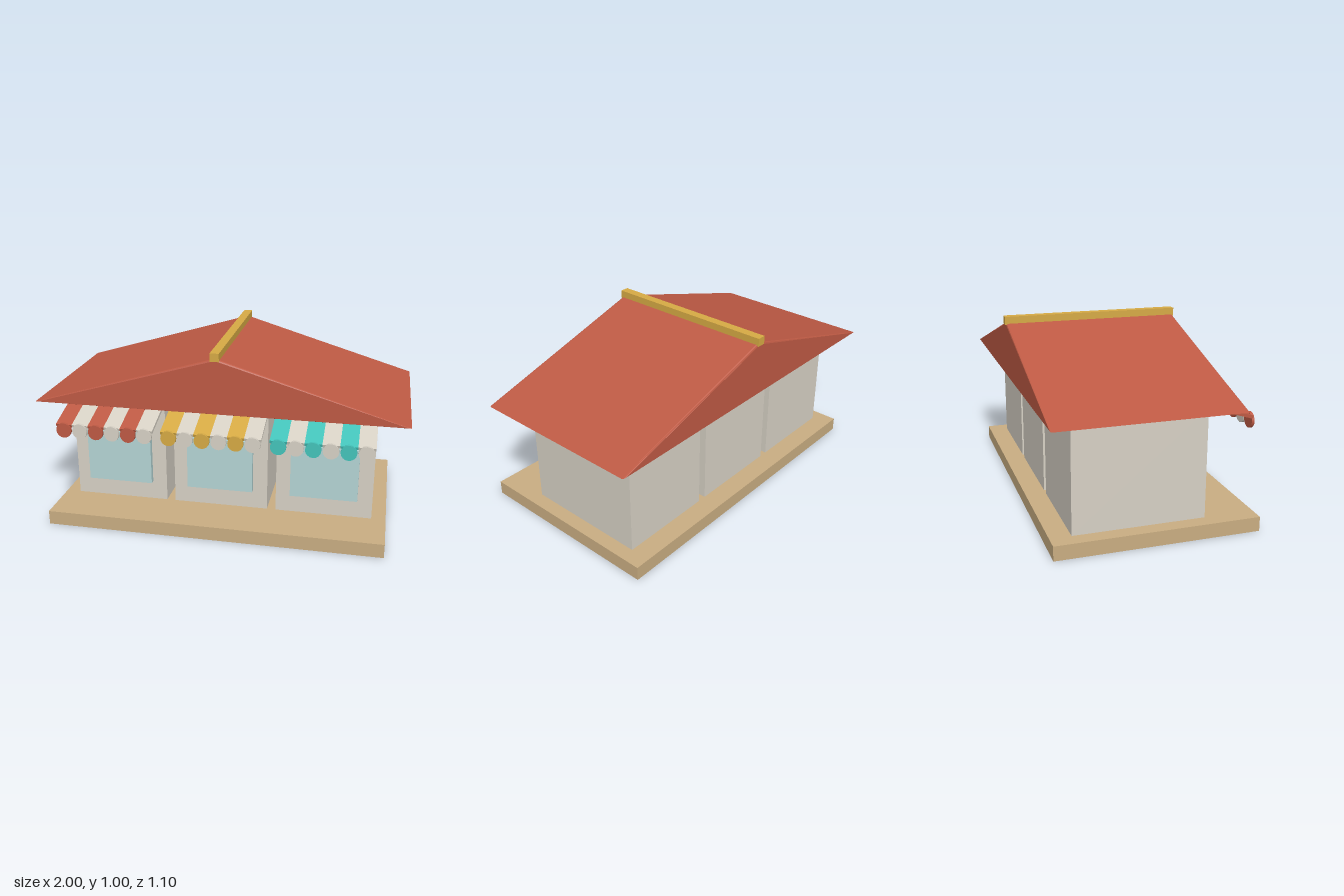
import * as THREE from 'three';

const mat = (name, color) => {
  const m = new THREE.MeshStandardMaterial({ color });
  m.name = name;
  return m;
};

export function createModel() {
  const red = mat('terracotta red', 0xbe5a44);
  const cream = mat('cream', 0xd7d1c5);
  const gold = mat('gold', 0xd6aa44);
  const teal = mat('teal', 0x44c4bb);
  const glass = mat('pale glass', 0xb5d5d5);
  const wood = mat('sandy wood', 0xc9ad82);

  const model = new THREE.Group();
  model.name = 'marketStalls';

  // Box given by its extents on each axis
  const box = (name, material, [x0, x1], [y0, y1], [z0, z1], parent = model) => {
    const mesh = new THREE.Mesh(new THREE.BoxGeometry(x1 - x0, y1 - y0, z1 - z0), material);
    mesh.position.set((x0 + x1) / 2, (y0 + y1) / 2, (z0 + z1) / 2);
    mesh.name = name;
    parent.add(mesh);
    return mesh;
  };

  box('basePlatform', wood, [-0.913, 0.911], [0, 0.077], [-0.52, 0.55]);

  // Three stalls, each with a window and a striped awning
  const stripes = 6, pitch = 0.0883, tilt = 0.3, awningLength = 0.285;
  const scallopGeometry = new THREE.CylinderGeometry(0.041, 0.041, 0.015, 16).rotateX(Math.PI / 2);
  const stripeGeometry = new THREE.BoxGeometry(pitch, 0.016, awningLength)
    .translate(0, -0.008, -awningLength / 2).rotateX(tilt);

  [red, gold, teal].forEach((accent, i) => {
    const stall = new THREE.Group();
    stall.name = ['leftmostStall', 'middleStall', 'rightmostStall'][i];
    stall.position.x = (i - 1) * 0.572;
    model.add(stall);

    box('stallWalls', cream, [-0.262, 0.262], [0.077, 0.655], [-0.41, 0.282], stall);
    box('window', glass, [-0.182, 0.182], [0.184, 0.482], [0.282, 0.311], stall);

    const awning = new THREE.Group();
    awning.name = 'awning';
    stall.add(awning);
    for (let s = 0; s < stripes; s++) {
      const x = (s - (stripes - 1) / 2) * pitch - 0.002;
      const material = s % 2 ? cream : accent;
      const stripe = new THREE.Mesh(stripeGeometry, material);
      stripe.name = 'awningStripe';
      stripe.position.set(x, 0.591, 0.524);
      const scallop = new THREE.Mesh(scallopGeometry, material);
      scallop.name = 'awningScallop';
      scallop.position.set(x, 0.559, 0.5235);
      awning.add(stripe, scallop);
    }
  });

  // Gabled roof with a softened edge on both gable ends
  const bevel = 0.01;
  const gable = new THREE.Shape();
  gable.moveTo(-0.986, 0.668);
  gable.lineTo(0.986, 0.668);
  gable.lineTo(0, 0.956);
  gable.closePath();
  const roof = new THREE.Mesh(new THREE.ExtrudeGeometry(gable, {
    depth: 0.957 - 2 * bevel, bevelThickness: bevel, bevelSize: bevel, bevelSegments: 2,
  }), red);
  roof.position.z = -0.542 + bevel;
  roof.name = 'roof';
  model.add(roof);

  box('ridgeBeam', gold, [-0.024, 0.024], [0.953, 0.997], [-0.548, 0.421]);

  return model;
}
